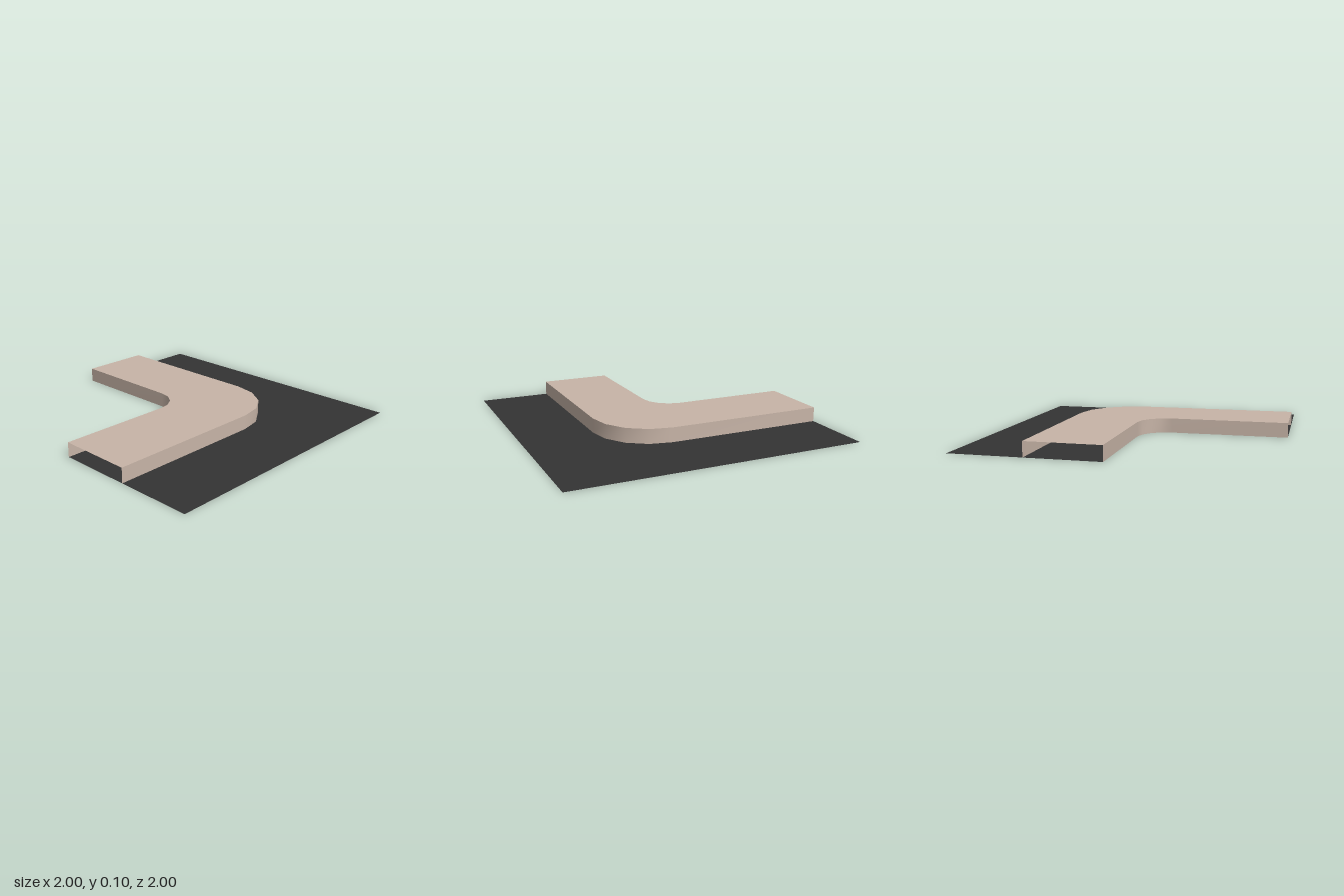
import * as THREE from 'three';

const HEIGHT = 0.1;

// Points [x, z] of a quarter bend, from one angle to another about a centre
function bend(cx, cz, radius, from, to, steps = 4) {
  return Array.from({ length: steps + 1 }, (_, i) => {
    const a = from + ((to - from) * i) / steps;
    return [cx + radius * Math.cos(a), cz + radius * Math.sin(a)];
  });
}

// Flat, upward-facing plate from an [x, z] outline
function plate(outline, y) {
  const shape = new THREE.Shape(outline.map(([x, z]) => new THREE.Vector2(x, -z)));
  return new THREE.ShapeGeometry(shape).rotateX(-Math.PI / 2).translate(0, y, 0);
}

// Upright strip along an [x, z] path, smooth around the bend
function wall(path) {
  const positions = [];
  const index = [];
  path.forEach(([x, z], i) => {
    positions.push(x, 0, z, x, HEIGHT, z);
    if (i < path.length - 1) {
      const a = i * 2;
      index.push(a, a + 1, a + 2, a + 1, a + 3, a + 2);
    }
  });
  const geometry = new THREE.BufferGeometry();
  geometry.setAttribute('position', new THREE.Float32BufferAttribute(positions, 3));
  geometry.setIndex(index);
  geometry.computeVertexNormals();
  return geometry;
}

export function createModel() {
  const group = new THREE.Group();
  group.name = 'pavementCorner';

  const paving = new THREE.MeshStandardMaterial({ name: 'paving', color: 0xc7b4a7, side: THREE.DoubleSide });
  const asphalt = new THREE.MeshStandardMaterial({ name: 'asphalt', color: 0x343434, side: THREE.DoubleSide });

  const add = (name, geometry, material) => {
    const mesh = new THREE.Mesh(geometry, material);
    mesh.name = name;
    group.add(mesh);
  };

  // Kerb lines: the raised pavement is open at both ends
  const outer = [[-1, -0.5], ...bend(0.1, -0.1, 0.4, -Math.PI / 2, 0), [0.5, 1]];
  const inner = [[0, 1], ...bend(-0.2, 0.2, 0.2, 0, -Math.PI / 2), [-1, 0]];

  // L-shaped road with a square inner corner
  add('road', plate([[-1, -1], [1, -1], [1, 1], [0, 1], [0, 0], [-1, 0]], 0), asphalt);

  // Raised pavement
  add('pavementTop', plate([...outer, ...inner], HEIGHT), paving);
  add('outerKerb', wall(outer), paving);
  add('innerKerb', wall(inner), paving);

  return group;
}
